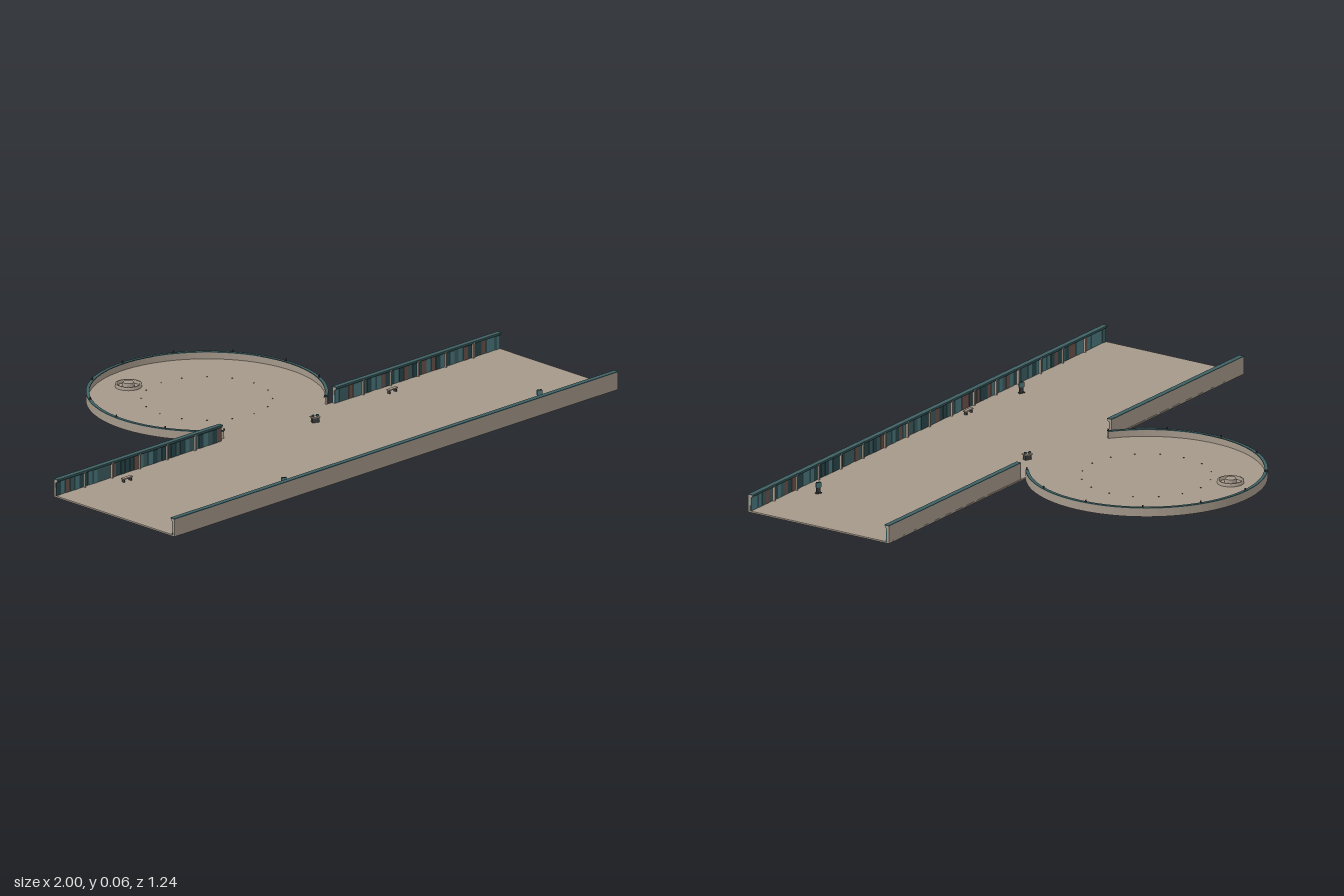
import * as THREE from 'three';

const mat = (name, color) => new THREE.MeshStandardMaterial({ name, color });

export function createModel() {
  const model = new THREE.Group();
  model.name = 'concourse';
  const stone = mat('stone', 0xa5988a);
  const teal = mat('teal trim', 0x3f6063);
  const deepTeal = mat('deep teal', 0x2b4a4e);
  const paleTeal = mat('pale teal', 0x4d7c80);
  const brown = mat('brown panel', 0x6e544e);
  const dark = mat('dark metal', 0x3c3f3f);

  const add = (parent, name, geometry, material, x = 0, y = 0, z = 0) => {
    const mesh = new THREE.Mesh(geometry, material);
    mesh.name = name;
    mesh.position.set(x, y, z);
    parent.add(mesh);
    return mesh;
  };
  const box = (parent, name, w, h, d, material, x, y, z) =>
    add(parent, name, new THREE.BoxGeometry(w, h, d), material, x, y, z);

  let seed = 7;
  const random = () => (seed = (seed * 16807) % 2147483647) / 2147483647;

  // Plan outlines: shape y is -z, arcs start and end at the doorway
  const R = 0.387, CZ = -0.235, OPEN = 0.642, BACK = 0.075, FRONT = 0.62, FLOOR = 0.005;
  const onCircle = (t, r) => {
    const a = OPEN + t * (2 * Math.PI - 2 * OPEN);
    return new THREE.Vector2(r * Math.sin(a), -(CZ + r * Math.cos(a)));
  };
  const arc = (r, n = 80) => Array.from({ length: n + 1 }, (_, i) => onCircle(i / n, r));
  const slab = (points, height) => new THREE.ExtrudeGeometry(new THREE.Shape(points),
    { depth: height, bevelEnabled: false }).rotateX(-Math.PI / 2);

  // Hall and round court share one floor
  const v = (x, z) => new THREE.Vector2(x, -z);
  add(model, 'floor', slab([v(-1, FRONT), v(1, FRONT), v(1, BACK), ...arc(R - 0.002), v(-1, BACK)], FLOOR), stone);

  // Low curved wall with a trim rim and small studs
  const ring = (r0, r1, h) => slab([...arc(r1), ...arc(r0).reverse()], h);
  add(model, 'courtWall', ring(R - 0.007, R, 0.0275), stone);
  add(model, 'courtRim', ring(R - 0.011, R, 0.003), teal, 0, 0.0275, 0);
  for (let i = 0; i <= 10; i++) {
    const p = onCircle(i / 10, R - 0.005);
    add(model, 'rimStud', new THREE.CylinderGeometry(0.002, 0.003, 0.008, 8), dark, p.x, 0.034, -p.y);
  }

  // Straight hall walls: overhanging profile, trim cap, ribs and striped cladding
  const profile = new THREE.Shape([[0, 0], [0.007, 0], [0.009, 0.049], [0.016, 0.053], [0.016, 0.0585], [0, 0.0585]]
    .map(([d, y]) => new THREE.Vector2(d, y)));
  const finishes = [teal, deepTeal, paleTeal, teal, brown, paleTeal, deepTeal];
  function hallWall(name, x0, x1, zOuter, dir) {
    const wall = new THREE.Group();
    wall.name = name;
    model.add(wall);
    const length = x1 - x0, mid = (x0 + x1) / 2;
    const shell = new THREE.ExtrudeGeometry(profile, { depth: length, bevelEnabled: false });
    shell.rotateY(-dir * Math.PI / 2);
    add(wall, 'wallShell', shell, stone, dir > 0 ? x1 : x0, 0, zOuter);
    box(wall, 'wallCap', length, 0.003, 0.018, teal, mid, 0.0595, zOuter + dir * 0.009);
    const panels = Math.round(length / 0.125), width = length / panels, strips = 6;
    for (let i = 0; i < panels; i++) {
      const start = x0 + i * width;
      if (i) box(wall, 'wallRib', 0.005, 0.054, 0.012, stone, start, 0.031, zOuter + dir * 0.013);
      for (let k = 0; k < strips; k++) {
        const finish = finishes[Math.floor(random() * finishes.length)];
        box(wall, 'claddingStrip', width / strips * 0.94, 0.045, 0.004, finish,
          start + (k + 0.5) * width / strips, 0.0275, zOuter + dir * (0.0085 + random() * 0.002));
      }
      box(wall, 'fascia', width - 0.006, 0.0045, 0.002, deepTeal, start + width / 2, 0.0556, zOuter + dir * 0.0165);
    }
  }
  hallWall('frontWall', -1, 1, FRONT, -1);
  hallWall('backWallRight', -1, -0.255, BACK, 1);
  hallWall('backWallLeft', 0.255, 1, BACK, 1);

  // Round basin with a small pedestal, off centre in the court
  const basin = new THREE.Group();
  basin.name = 'basin';
  basin.position.set(-0.095, FLOOR, -0.495);
  model.add(basin);
  const lathe = (points) => new THREE.LatheGeometry(points.map(([r, y]) => new THREE.Vector2(r, y)), 32);
  add(basin, 'basinWall', lathe([[0.043, 0], [0.043, 0.01], [0.036, 0.01], [0.036, 0]]), stone);
  add(basin, 'pedestal', new THREE.CylinderGeometry(0.018, 0.02, 0.015, 24), stone, 0, 0.0075, 0);

  // Ring of tiny floor markers
  for (let i = 0; i < 16; i++) {
    const a = i / 16 * 2 * Math.PI;
    add(model, 'floorMarker', new THREE.CylinderGeometry(0.0025, 0.0025, 0.0015, 8), dark,
      0.21 * Math.sin(a), FLOOR + 0.0007, CZ + 0.21 * Math.cos(a));
  }

  // Benches
  for (const [x, z, turn] of [[-0.74, 0.145, 0], [0.46, 0.14, 0.06], [-0.175, 0.575, 0]]) {
    const bench = new THREE.Group();
    bench.name = 'bench';
    bench.position.set(x, FLOOR, z);
    bench.rotation.y = turn;
    model.add(bench);
    box(bench, 'benchSeat', 0.042, 0.004, 0.012, stone, 0, 0.012, 0);
    for (const s of [-1, 1]) box(bench, 'benchLeg', 0.004, 0.01, 0.01, dark, s * 0.015, 0.005, 0);
  }

  // Slim information posts
  for (const [x, z] of [[-0.435, 0.548], [0.735, 0.53]]) {
    const post = new THREE.Group();
    post.name = 'infoPost';
    post.position.set(x, FLOOR, z);
    post.rotation.y = -0.4;
    model.add(post);
    box(post, 'postBase', 0.02, 0.003, 0.01, dark, 0, 0.0015, 0);
    box(post, 'postBody', 0.014, 0.036, 0.005, dark, 0, 0.02, 0);
    box(post, 'postScreen', 0.018, 0.016, 0.007, paleTeal, 0, 0.028, 0);
  }

  // Small kiosk at the court entrance
  const kiosk = new THREE.Group();
  kiosk.name = 'kiosk';
  kiosk.position.set(0.085, FLOOR, 0.168);
  kiosk.rotation.y = -0.4;
  model.add(kiosk);
  box(kiosk, 'kioskBody', 0.024, 0.016, 0.014, dark, 0, 0.008, 0);
  box(kiosk, 'kioskTop', 0.03, 0.003, 0.02, stone, 0, 0.0175, 0);
  for (const s of [-1, 1]) box(kiosk, 'kioskScreen', 0.008, 0.006, 0.004, teal, s * 0.008, 0.022, 0);

  return model;
}
